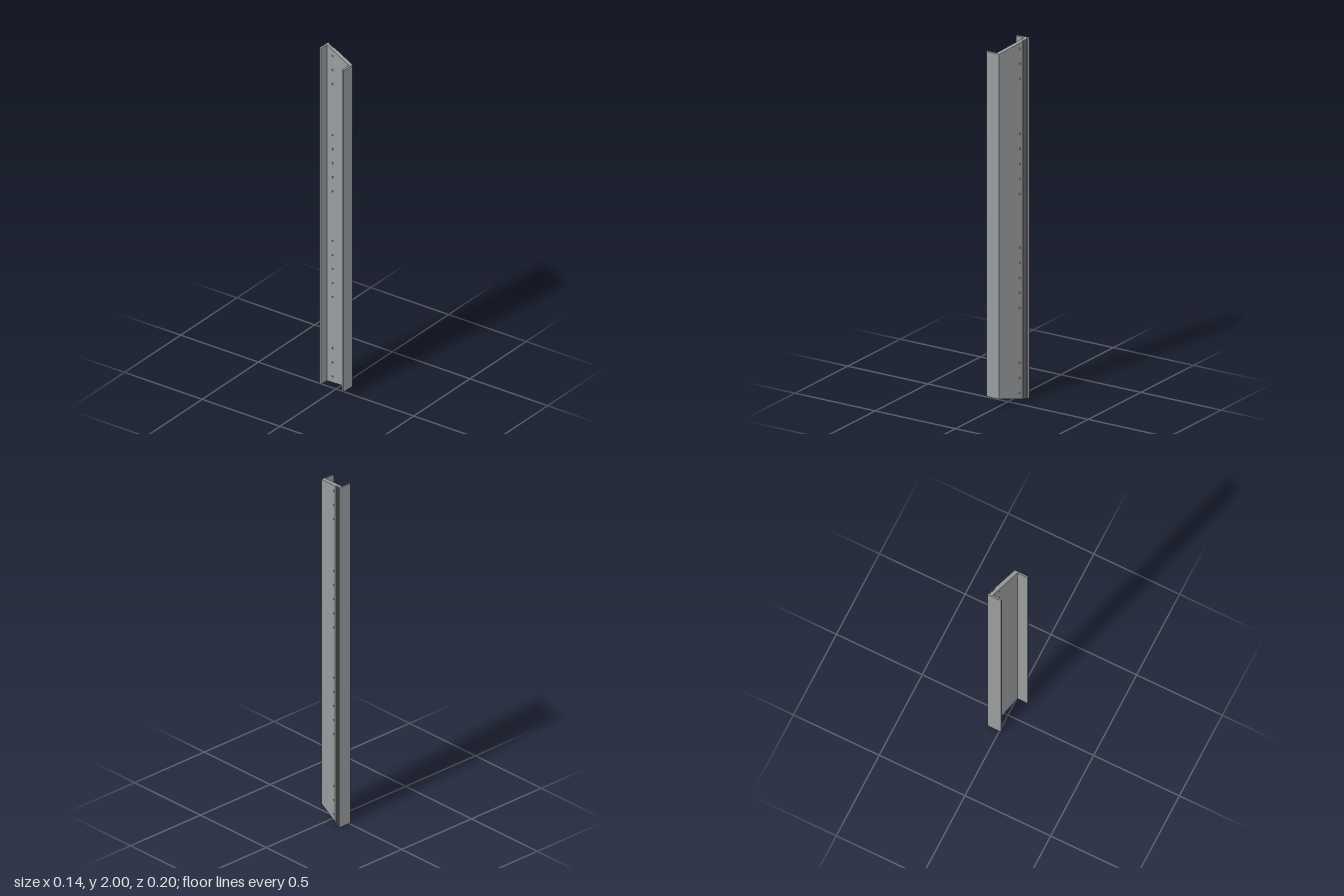
import * as THREE from 'three';

const SLOPE = 0.295;                 // sideways lean of the web
const L = Math.hypot(1, SLOPE);
const THICK = 0.0236 / L;            // web thickness
const CUT_FRONT = 0.09 + THICK * SLOPE / L; // outer z where web meets front flange
const CUT_BACK = -0.05;              // outer z where web meets grooved strip

// Point on the web's cross-section: z on the outer face, d = depth below it
const web = (z, d = 0) => [0.0395 - SLOPE * z - d / L, z - d * SLOPE / L];

// Mitred ends: height at t = 0 (bottom) or 1 (top)
const mitre = (z, t) => {
  const inset = 0.225 * (z + 0.1);
  return t > 0.5 ? 2 - inset : inset;
};

// Upright prism from an x-z outline, with mitred ends
function prism(name, outline, material) {
  const shape = new THREE.Shape(outline.map(([x, z]) => new THREE.Vector2(x, -z)));
  const geo = new THREE.ExtrudeGeometry(shape, { depth: 1, bevelEnabled: false });
  geo.rotateX(-Math.PI / 2);
  const p = geo.attributes.position;
  for (let i = 0; i < p.count; i++) p.setY(i, mitre(p.getZ(i), p.getY(i)));
  geo.computeVertexNormals();
  const mesh = new THREE.Mesh(geo, material);
  mesh.name = name;
  return mesh;
}

// Sloping web plate with a row of drilled holes
function webPlate(material) {
  const len = (CUT_FRONT - CUT_BACK) * L;
  const shape = new THREE.Shape([[0, 0], [len, 0], [len, 2], [0, 2]]
    .map(([u, v]) => new THREE.Vector2(u, v)));
  const u = (CUT_FRONT + 0.036) * L;
  const groups = [[0.048, 3], [0.519, 5], [1.148, 5], [1.786, 3]];
  for (const [start, count] of groups) {
    for (let i = 0; i < count; i++) {
      const hole = new THREE.Path();
      hole.absarc(u, start + i * 0.0833, 0.005, 0, Math.PI * 2, true);
      shape.holes.push(hole);
    }
  }
  const geo = new THREE.ExtrudeGeometry(shape, { depth: THICK, bevelEnabled: false, curveSegments: 16 });
  const [x0, z0] = web(CUT_FRONT, THICK);
  const frame = new THREE.Matrix4().makeBasis(
    new THREE.Vector3(SLOPE / L, 0, -1 / L),
    new THREE.Vector3(0, 1, 0),
    new THREE.Vector3(1 / L, 0, SLOPE / L)
  ).setPosition(x0, 0, z0);
  geo.applyMatrix4(frame);
  // Only the plate corners lie at y = 0 or 2; move them onto the mitre
  const p = geo.attributes.position;
  for (let i = 0; i < p.count; i++) {
    const y = p.getY(i);
    if (y < 1e-4 || y > 2 - 1e-4) p.setY(i, mitre(p.getZ(i), y / 2));
  }
  geo.computeVertexNormals();
  const mesh = new THREE.Mesh(geo, material);
  mesh.name = 'drilledWeb';
  return mesh;
}

export function createModel() {
  const metal = new THREE.MeshStandardMaterial({ color: 0x9a9d9f });
  metal.name = 'grey metal';
  const group = new THREE.Group();
  group.name = 'channelRail';

  // Front flange with the outer corner
  group.add(prism('frontFlange', [
    [-0.07, 0.09], web(CUT_FRONT, THICK), web(CUT_FRONT), web(0.1), [-0.07, 0.1],
  ], metal));

  group.add(webPlate(metal));

  // Back flange and grooved strip
  const grooves = [[-0.053, -0.059], [-0.064, -0.072], [-0.08, -0.087]];
  const outline = [web(CUT_BACK, THICK), web(CUT_BACK)];
  for (const [a, b] of grooves) {
    outline.push(web(a), web(a, 0.006), web(b, 0.006), web(b));
  }
  outline.push(web(-0.1), [-0.011, -0.1], [-0.011, -0.09], [0.0395 + SLOPE * 0.09 - 0.0236, -0.09]);
  group.add(prism('groovedBackFlange', outline, metal));

  return group;
}
